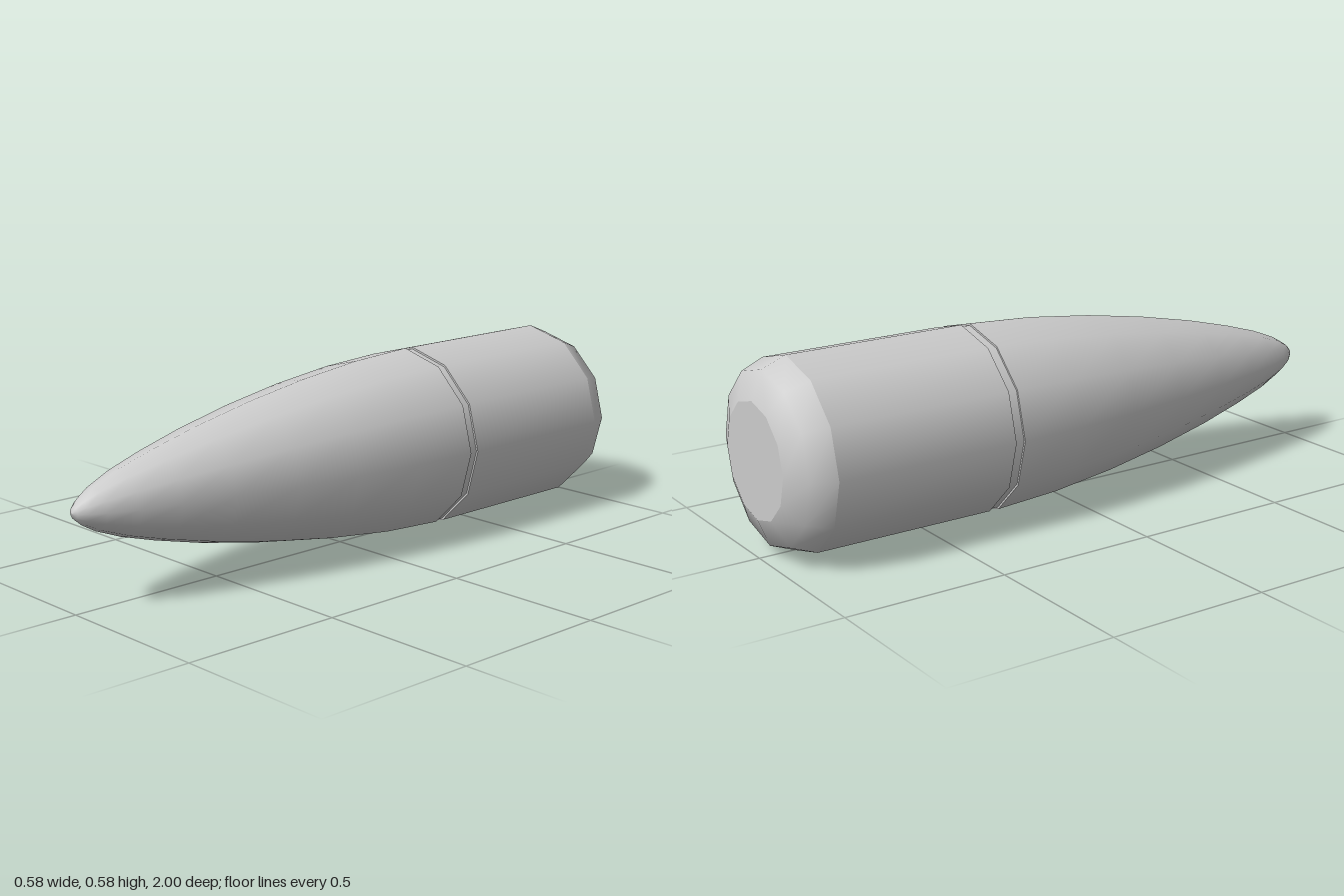
import * as THREE from 'three';

const SIDES = 12;
const R = 0.29;        // body radius
const GROOVE_R = 0.284;
const GROOVE_BACK = -0.315;
const GROOVE_FRONT = -0.285;

export function createModel() {
  const model = new THREE.Group();
  const material = new THREE.MeshStandardMaterial({ color: 0xcccccc });

  // One smooth lathed section along z; profile points are [radius, z], back to front
  function section(name, profile) {
    const points = profile.map(([r, z]) => new THREE.Vector2(r, z));
    const geometry = new THREE.LatheGeometry(points, SIDES);
    geometry.rotateX(Math.PI / 2);
    geometry.translate(0, R, 0);
    const mesh = new THREE.Mesh(geometry, material);
    mesh.name = name;
    model.add(mesh);
  }

  // Flat base, rounded rear edge and straight body
  section('base', [[0, -1], [0.175, -1]]);
  section('rearBevel', [[0.175, -1], [0.26, -0.965], [R, -0.89]]);
  section('body', [[R, -0.89], [R, GROOVE_BACK]]);

  // Narrow, shallow groove between body and nose
  section('grooveBackWall', [[R, GROOVE_BACK], [GROOVE_R, GROOVE_BACK]]);
  section('grooveFloor', [[GROOVE_R, GROOVE_BACK], [GROOVE_R, GROOVE_FRONT]]);
  section('grooveFrontWall', [[GROOVE_R, GROOVE_FRONT], [R, GROOVE_FRONT]]);

  // Long, slim curved nose with a small rounded tip
  section('nose', [
    [R, GROOVE_FRONT], [0.278, -0.07], [0.252, 0.15], [0.217, 0.36],
    [0.175, 0.56], [0.134, 0.72], [0.098, 0.84], [0.064, 0.925],
    [0.038, 0.97], [0.018, 0.993], [0, 1],
  ]);

  return model;
}
